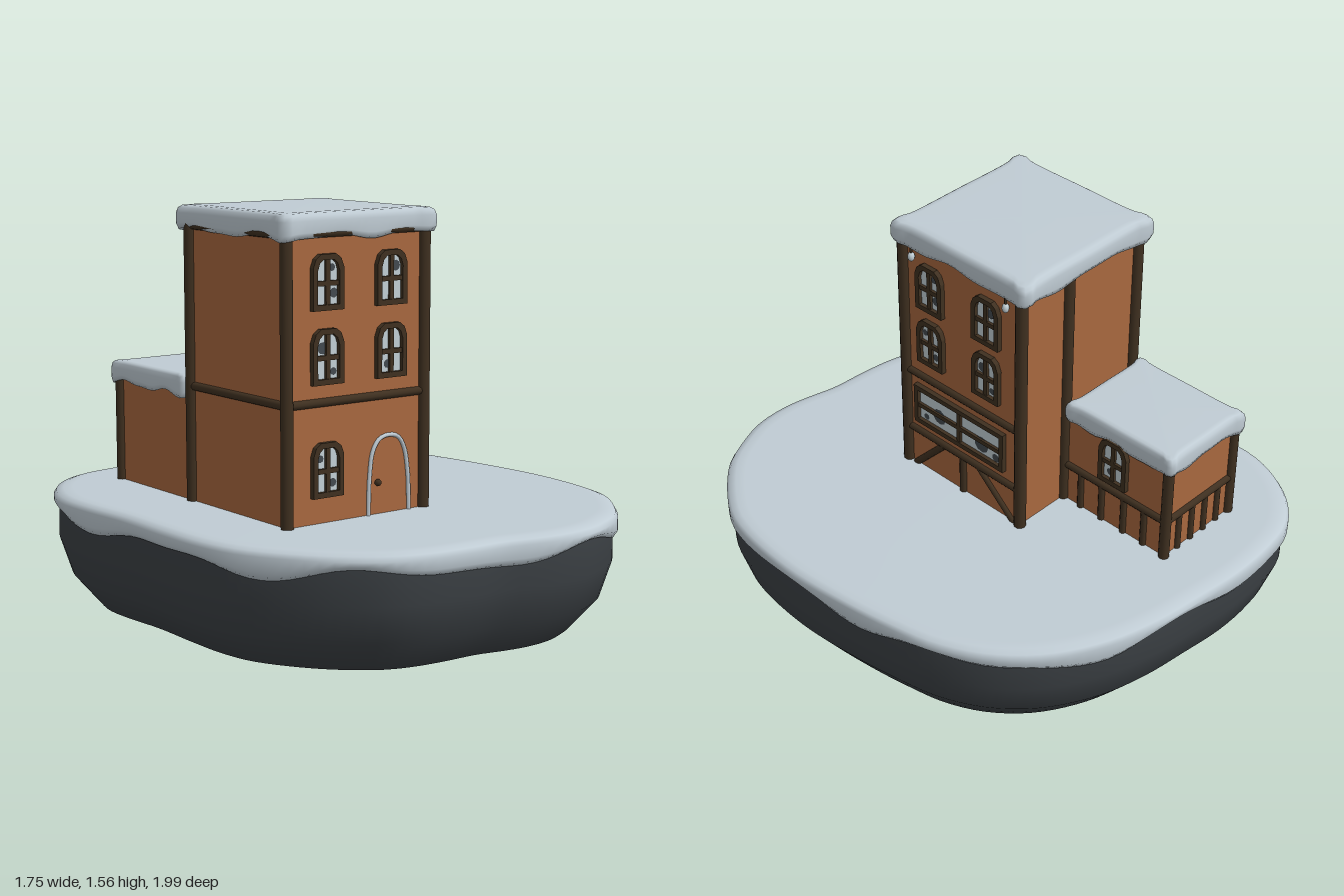
import * as THREE from 'three';

const mat = (name, color) => Object.assign(new THREE.MeshStandardMaterial({ color }), { name });
const snow = mat('snow', 0xc0ccd4);
const rock = mat('rock', 0x3c4145);
const wall = mat('wall', 0xa8683f);
const timber = mat('timber', 0x3f3020);
const glass = mat('glass', 0xc3d0d6);
const shade = mat('shade', 0x434a50);

const V = (x, y, z) => new THREE.Vector3(x, y, z);

function add(parent, name, geometry, material, x = 0, y = 0, z = 0) {
  const m = new THREE.Mesh(geometry, material);
  m.name = name;
  m.position.set(x, y, z);
  parent.add(m);
  return m;
}

// Stacks scaled copies of a closed outline; each ring is [scale, height, wave]
function loft(points, rings, count) {
  const curve = new THREE.CatmullRomCurve3(points.map(([x, z]) => V(x, 0, z)), true);
  const pts = curve.getSpacedPoints(count).slice(0, count);
  const pos = [], idx = [];
  rings.forEach(([s, y, wave = 0], i) => pts.forEach((p, j) => {
    const t = j / count * Math.PI * 2;
    pos.push(p.x * s, y + wave * (Math.sin(7 * t + 1) + 0.5 * Math.sin(12 * t)), p.z * s);
    if (i === rings.length - 1) return;
    const k = (j + 1) % count, a = i * count, b = a + count;
    idx.push(a + j, b + j, a + k, b + j, b + k, a + k);
  }));
  const g = new THREE.BufferGeometry();
  g.setAttribute('position', new THREE.Float32BufferAttribute(pos, 3));
  g.setIndex(idx);
  g.computeVertexNormals();
  return g;
}

// Round timber between two points
function beam(parent, name, a, b, r = 0.02, material = timber) {
  const d = b.clone().sub(a);
  const m = add(parent, name, new THREE.CylinderGeometry(r, r, d.length(), 10), material);
  m.position.copy(a).addScaledVector(d, 0.5);
  m.quaternion.setFromUnitVectors(V(0, 1, 0), d.normalize());
}

// Pillow of snow with pinched sides and drawn-out corners
function snowRoof(parent, name, cx, cz, a, b, bottom, top) {
  const quarter = [[0.95, 0], [0.96, 0.8], [1, 0.93], [0.93, 1], [0.8, 0.96]];
  const outline = [];
  for (let q = 0; q < 4; q++) for (const [u0, v0] of quarter) {
    let u = u0, v = v0;
    for (let k = 0; k < q; k++) [u, v] = [-v, u];
    outline.push([u * a, v * b]);
  }
  const rings = [[0, bottom + 0.02], [0.9, bottom + 0.02], [0.98, bottom, 0.008], [1, bottom + 0.02, 0.006],
    [1, top - 0.03], [0.985, top - 0.012], [0.95, top - 0.003], [0.88, top], [0, top]];
  add(parent, name, loft(outline, rings, 80), snow, cx, 0, cz);
}

function archPoints(w, h) {
  const x = w / 2;
  return [[-x, 0], [x, 0], [x, h * 0.76], [x * 0.82, h * 0.92], [x * 0.5, h],
    [-x * 0.5, h], [-x * 0.82, h * 0.92], [-x, h * 0.76]].map(([px, py]) => new THREE.Vector2(px, py));
}
const boxPoints = (w, h) => [[-1, 0], [1, 0], [1, 1], [-1, 1]].map(([u, v]) => new THREE.Vector2(u * w / 2, v * h));

// Framed window with crossbars, panes and dim shapes behind the panes; faces +z
function windowUnit(parent, name, w, h, outline, blobs) {
  const g = new THREE.Group();
  g.name = name;
  const t = 0.02;
  const frame = new THREE.Shape(outline(w, h));
  const inner = outline(w - 2 * t, h - 2 * t).map(p => new THREE.Vector2(p.x, p.y + t));
  frame.holes.push(new THREE.Path(inner));
  add(g, 'windowFrame', new THREE.ExtrudeGeometry(frame, { depth: 0.02, bevelEnabled: false }), timber);
  add(g, 'windowPane', new THREE.ShapeGeometry(new THREE.Shape(inner)), glass, 0, 0, 0.005);
  add(g, 'mullion', new THREE.BoxGeometry(0.018, h - t, 0.012), timber, 0, h / 2, 0.01);
  add(g, 'crossbar', new THREE.BoxGeometry(w - t, 0.018, 0.012), timber, 0, h * 0.48, 0.01);
  for (const [x, y, r] of blobs) add(g, 'paneShade', new THREE.CircleGeometry(r, 9), shade, x, y, 0.008);
  parent.add(g);
  return g;
}

export function createModel() {
  const model = new THREE.Group();
  model.name = 'snowyHouse';

  // Rock base with its snow cover
  const outline = [[-0.29, -1], [-0.48, -0.99], [-0.63, -0.955], [-0.76, -0.855], [-0.84, -0.73], [-0.88, -0.595],
    [-0.88, -0.42], [-0.86, -0.21], [-0.86, 0.08], [-0.85, 0.29], [-0.81, 0.46], [-0.69, 0.66], [-0.58, 0.78],
    [-0.46, 0.87], [-0.335, 0.915], [-0.18, 0.936], [-0.01, 0.946], [0.11, 0.973], [0.23, 0.99], [0.37, 0.98],
    [0.48, 0.94], [0.61, 0.867], [0.79, 0.65], [0.836, 0.535], [0.868, 0.24], [0.847, -0.05], [0.81, -0.28],
    [0.77, -0.447], [0.68, -0.626], [0.535, -0.78], [0.33, -0.896], [0.124, -0.954], [-0.08, -0.98]].reverse();
  add(model, 'rockBase', loft(outline,
    [[0, 0], [0.6, 0], [0.84, 0], [0.94, 0.12], [0.983, 0.26], [0.98, 0.4]], 120), rock);
  add(model, 'snowGround', loft(outline,
    [[0.96, 0.385], [0.985, 0.365, 0.02], [1, 0.385, 0.014], [1, 0.42], [0.99, 0.438], [0.965, 0.447],
      [0.93, 0.45], [0, 0.45]], 120), snow);

  // Tower and shed walls
  const L = -0.525, R = 0.094, F = 0.367, B = -0.234, S = -0.15, E = -0.742, G = 0.44;
  const block = (name, x0, x1, z0, z1, top) => add(model, name,
    new THREE.BoxGeometry(x1 - x0, top - G, z1 - z0), wall, (x0 + x1) / 2, (G + top) / 2, (z0 + z1) / 2);
  block('towerWalls', L, R, B, F, 1.5);
  block('shedWalls', L, S, E, B, 0.87);

  // Corner posts
  for (const [x, z] of [[L, F], [R, F], [L, B], [R, B], [S, B]])
    beam(model, 'towerPost', V(x, G, z), V(x, 1.49, z), 0.024);
  for (const x of [L, S]) beam(model, 'shedPost', V(x, G, E), V(x, 0.87, E), 0.021);

  // Floor beams and top beams
  beam(model, 'frontFloorBeam', V(L, 0.886, F), V(R, 0.886, F), 0.016);
  beam(model, 'leftFloorBeam', V(R, 0.89, F), V(R, 0.89, B), 0.016);
  beam(model, 'rightFloorBeam', V(L, 0.886, F), V(L, 0.886, B), 0.016);
  for (const z of [F, B]) beam(model, 'topBeam', V(L, 1.483, z), V(R, 1.483, z), 0.016);
  for (const x of [L, R]) beam(model, 'topBeam', V(x, 1.483, F), V(x, 1.483, B), 0.016);

  // Lower beams, braces and studs
  beam(model, 'lowerBeam', V(R, 0.617, F), V(R, 0.617, B), 0.016);
  beam(model, 'shedSideBeam', V(S, 0.617, B), V(S, 0.617, E), 0.016);
  beam(model, 'shedBackBeam', V(L, 0.617, E), V(S, 0.617, E), 0.016);
  beam(model, 'centreStud', V(R, G, 0.065), V(R, 0.61, 0.065), 0.016);
  beam(model, 'brace', V(R, 0.61, 0.17), V(R, G, 0.33), 0.014);
  beam(model, 'brace', V(R, 0.61, -0.02), V(R, G, -0.21), 0.014);
  for (const z of [-0.325, -0.43, -0.54, -0.64]) beam(model, 'sideStud', V(S, G, z), V(S, 0.61, z), 0.014);
  for (const x of [-0.45, -0.375, -0.3, -0.225]) beam(model, 'backStud', V(x, G, E), V(x, 0.61, E), 0.014);

  // Front windows
  const shades = [[[0.025, 0.05, 0.016], [-0.03, 0.14, 0.014]], [[-0.02, 0.13, 0.022], [0.028, 0.045, 0.014]],
    [[0.03, 0.06, 0.018], [0.022, 0.15, 0.014]], [[0.022, 0.14, 0.02]], [[-0.015, 0.05, 0.016]]];
  [[-0.355, 0.545], [-0.355, 0.95], [-0.355, 1.213], [-0.068, 1.213], [-0.068, 0.95]].forEach(([x, y], i) =>
    windowUnit(model, 'frontWindow', 0.135, 0.198, archPoints, shades[i]).position.set(x, y, F));

  // Windows on the left side of tower and shed
  [[R, 0.968, 0.222], [R, 0.968, -0.067], [R, 1.213, 0.222], [R, 1.213, -0.067], [S, 0.655, -0.487]].forEach(([x, y, z], i) => {
    const w = windowUnit(model, 'sideWindow', 0.135, 0.198, archPoints, shades[i]);
    w.position.set(x, y, z);
    w.rotation.y = Math.PI / 2;
  });
  const wide = windowUnit(model, 'wideWindow', 0.472, 0.174, boxPoints,
    [[-0.11, 0.075, 0.034], [0.115, 0.065, 0.036], [0.19, 0.04, 0.018], [-0.18, 0.04, 0.014]]);
  wide.position.set(R, 0.671, 0.076);
  wide.rotation.y = Math.PI / 2;

  // Door arch and knob
  const arch = [[-0.165, 0.44], [-0.16, 0.59], [-0.145, 0.685], [-0.115, 0.727], [-0.07, 0.738],
    [-0.028, 0.727], [0, 0.685], [0.018, 0.59], [0.024, 0.44]].map(([x, y]) => V(x, y, F + 0.004));
  add(model, 'doorArch', new THREE.TubeGeometry(new THREE.CatmullRomCurve3(arch), 40, 0.008, 8), snow);
  add(model, 'doorKnob', new THREE.SphereGeometry(0.013, 12, 8), timber, -0.125, 0.568, F + 0.01);

  // Little hanging lamps under the eaves
  for (const z of [0.306, -0.172]) {
    beam(model, 'lampHook', V(R + 0.018, 1.44, z), V(R + 0.018, 1.48, z), 0.005);
    add(model, 'lamp', new THREE.SphereGeometry(0.014, 10, 8), glass, R + 0.018, 1.425, z).scale.y = 1.4;
  }

  // Snow on the roofs
  snowRoof(model, 'towerRoofSnow', -0.211, 0.055, 0.35, 0.348, 1.467, 1.558);
  snowRoof(model, 'shedRoofSnow', -0.339, -0.512, 0.216, 0.266, 0.842, 0.925);
  return model;
}
